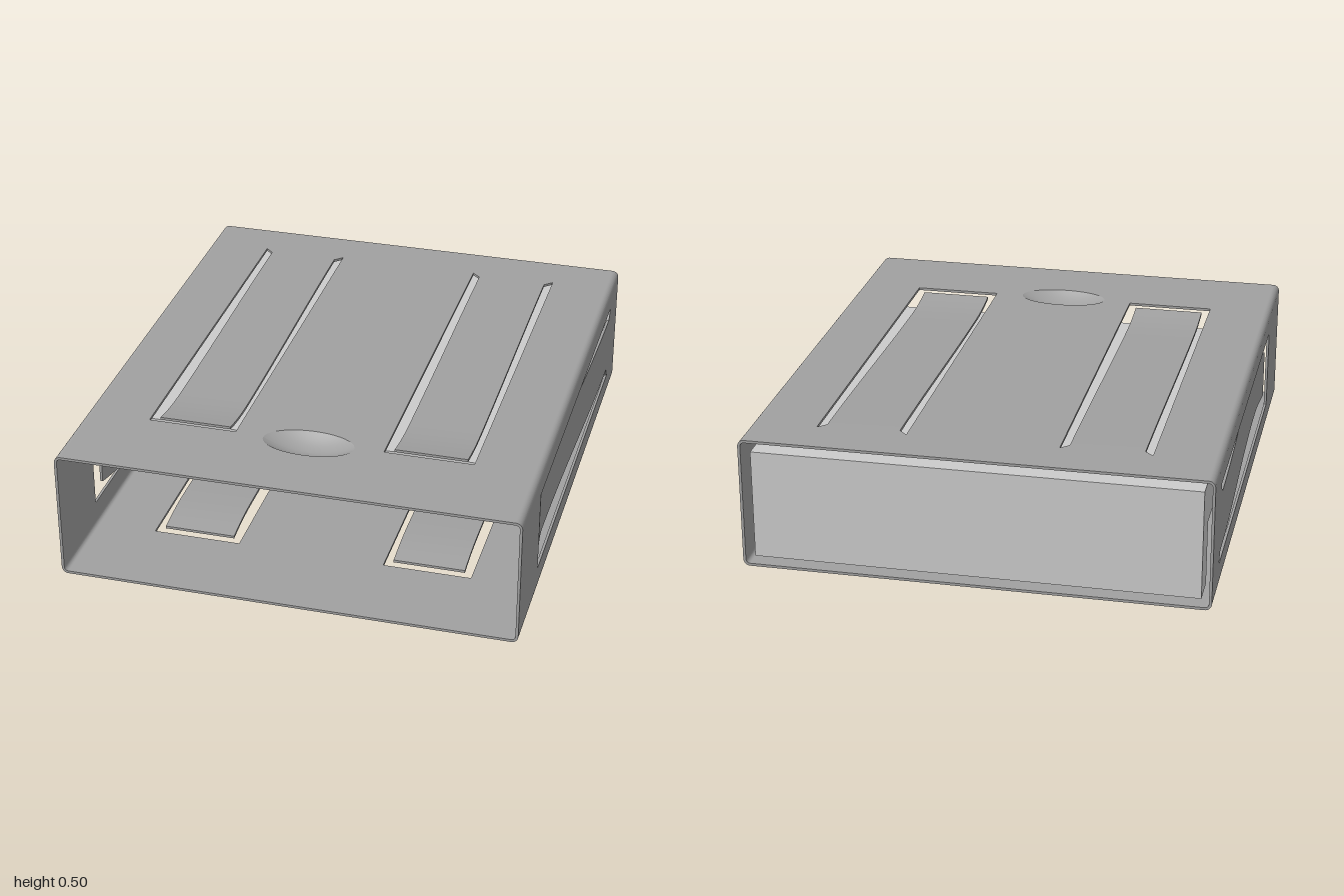
import * as THREE from 'three';

export function createModel() {
  const model = new THREE.Group();
  const sheet = new THREE.MeshStandardMaterial({ name: 'sheet metal grey', color: 0xa0a0a0, side: THREE.DoubleSide });
  const light = new THREE.MeshStandardMaterial({ name: 'light grey', color: 0xcbcbcb });
  const dark = new THREE.MeshStandardMaterial({ name: 'dark grey', color: 0x555555 });
  const T = 0.01, W = 0.86, H = 0.5, R = 0.025;

  const add = (parent, name, geometry, material, x = 0, y = 0, z = 0) => {
    const mesh = new THREE.Mesh(geometry, material);
    mesh.name = name;
    mesh.position.set(x, y, z);
    parent.add(mesh);
    return mesh;
  };

  // Spring finger: sinks inwards along its length, then curls back out at the tip
  const bend = (z) => z < 0.42
    ? 0.022 * THREE.MathUtils.smoothstep(z, -0.8, 0.42) + 0.002 * Math.max(0, (z + 0.8) / 1.22)
    : 0.024 - 0.018 * ((z - 0.42) / 0.2) ** 2;
  const fingerGeometry = (half, tipHalf, end) => {
    const length = end + 0.8;
    const g = new THREE.BoxGeometry(2, T, length, 1, 1, 40);
    g.translate(0, T / 2, -0.8 + length / 2);
    const p = g.attributes.position;
    for (let i = 0; i < p.count; i++) {
      const z = p.getZ(i);
      const taper = THREE.MathUtils.clamp((z - 0.43) / (end - 0.43), 0, 1);
      p.setX(i, p.getX(i) * THREE.MathUtils.lerp(half, tipHalf, taper));
      p.setY(i, p.getY(i) - bend(z));
    }
    g.computeVertexNormals();
    return g;
  };

  // Flat wall lying in x/z with +y outwards, with slots and their spring fingers
  const wall = (name, halfWidth, slots, dimple) => {
    const group = new THREE.Group();
    group.name = name;
    const shape = new THREE.Shape([
      [-halfWidth, -1], [halfWidth, -1], [halfWidth, 1], [-halfWidth, 1],
    ].map(([x, y]) => new THREE.Vector2(x, y)));
    for (const s of slots) {
      shape.holes.push(new THREE.Path([
        [-s.slot, 0.66], [-s.slot, -0.83], [-s.half, -0.8],
        [s.half, -0.8], [s.slot, -0.83], [s.slot, 0.66],
      ].map(([u, z]) => new THREE.Vector2(s.u + u, -z))));
      add(group, 'springFinger', fingerGeometry(s.half, s.tip, s.end), sheet, s.u);
    }
    if (dimple) {
      shape.holes.push(new THREE.Path().absellipse(0, -0.67, 0.172, 0.086, 0, Math.PI * 2, true));
      const bowl = new THREE.SphereGeometry(1, 40, 10, 0, Math.PI * 2, Math.PI / 2, Math.PI / 2);
      // Shallow dish shaped by a parabola
      const p = bowl.attributes.position;
      for (let i = 0; i < p.count; i++) {
        const r2 = p.getX(i) ** 2 + p.getZ(i) ** 2;
        p.setY(i, r2 - 1);
      }
      bowl.scale(0.172, 0.043, 0.086);
      bowl.computeVertexNormals();
      add(group, 'dimple', bowl, sheet, 0, T, 0.67);
    }
    const g = new THREE.ExtrudeGeometry(shape, { depth: T, bevelEnabled: false, curveSegments: 20 });
    g.rotateX(-Math.PI / 2);
    add(group, name + 'Sheet', g, sheet);
    model.add(group);
    return group;
  };

  const flatSlots = [-1, 1].map((s) => ({ u: s * 0.4475, slot: 0.167, half: 0.136, tip: 0.136, end: 0.625 }));
  const sideSlot = (u) => [{ u, slot: 0.157, half: 0.116, tip: 0.095, end: 0.6 }];

  wall('topWall', W - R, flatSlots, true).position.y = H - T;
  const bottom = wall('bottomWall', W - R, flatSlots, false);
  bottom.position.y = T;
  bottom.rotation.z = Math.PI;
  for (const s of [-1, 1]) {
    const side = wall(s > 0 ? 'leftWall' : 'rightWall', H / 2 - R, sideSlot(-s * 0.005), false);
    side.position.set(s * (W - T), H / 2, 0);
    side.rotation.z = -s * Math.PI / 2;
  }

  // Rounded corner strips joining the four walls
  const arc = new THREE.Shape();
  arc.absarc(0, 0, R, 0, Math.PI / 2, false);
  arc.absarc(0, 0, R - T, Math.PI / 2, 0, true);
  const corner = new THREE.ExtrudeGeometry(arc, { depth: 2, bevelEnabled: false, curveSegments: 6 });
  [[1, 1], [-1, 1], [-1, -1], [1, -1]].forEach(([sx, sy], i) => {
    add(model, 'cornerStrip', corner, sheet, sx * (W - R), H / 2 + sy * (H / 2 - R), -1)
      .rotation.z = i * Math.PI / 2;
  });

  // Inner block: long upper body and a low wall at the back
  add(model, 'innerBody', new THREE.BoxGeometry(1.64, 0.17, 1.545), light, 0, 0.363, -0.2075);
  add(model, 'backPanel', new THREE.BoxGeometry(1.64, 0.245, 0.12), light, 0, 0.1555, -0.92);

  // Small pads with dark contacts under the front edge
  for (const x of [-0.591, -0.213, 0.213, 0.591]) {
    add(model, 'contactPad', new THREE.BoxGeometry(0.088, 0.05, 0.1), light, x, 0.253, 0.51);
    add(model, 'contact', new THREE.BoxGeometry(0.028, 0.028, 0.008), dark, x, 0.256, 0.561);
  }
  return model;
}
